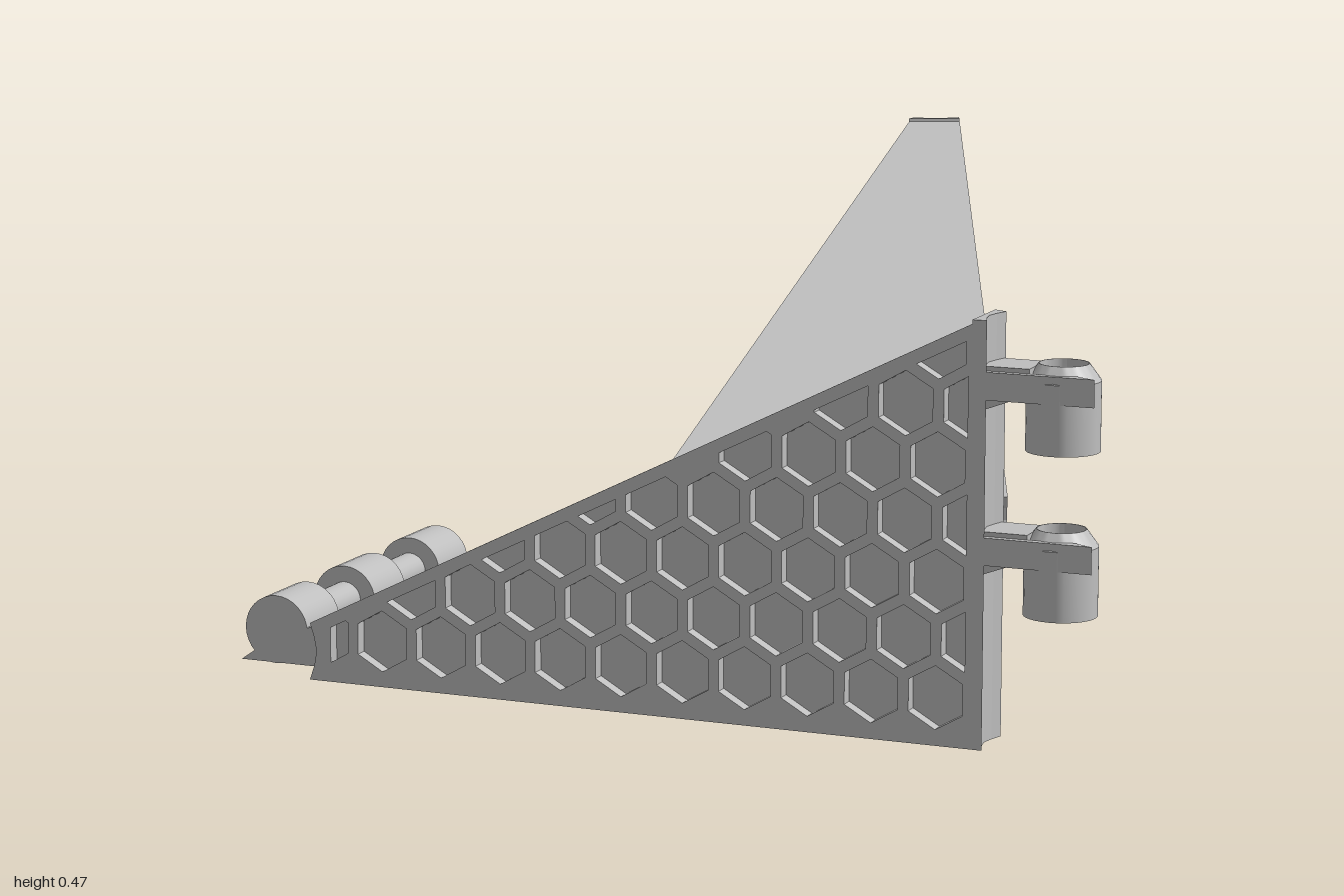
import * as THREE from 'three';
import { toCreasedNormals } from 'three/addons/utils/BufferGeometryUtils.js';
import { ConvexGeometry } from 'three/addons/geometries/ConvexGeometry.js';

const grey = new THREE.MeshStandardMaterial({ color: 0xbebebe });
grey.name = 'plain grey';

const LENGTH = 0.8, LOW = 0.067, SLOPE = 0.5, DEPTH = 0.015;
const U0 = 0.012, U1 = LENGTH - 0.012;
const AXIS_U = 0.876, AXIS_V = 0.039; // hinge axis beyond the wedge end
const rise = (u) => LOW + SLOPE * u;

function add(parent, geometry, name) {
  const mesh = new THREE.Mesh(geometry, grey);
  mesh.name = name;
  parent.add(mesh);
  return mesh;
}

const shapeOf = (pts) => new THREE.Shape(pts.map(([x, y]) => new THREE.Vector2(x, y)));
const extrude = (shape, depth) => new THREE.ExtrudeGeometry(shape, { depth, bevelEnabled: false });

// Prism with a plan outline (u, v), standing from y0 to y1
function prism(pts, y0, y1) {
  return extrude(shapeOf(pts), y1 - y0).rotateX(-Math.PI / 2).translate(0, y0, 0);
}

// Keep the part of a polygon where a*x + b*y >= c
function clip(poly, [a, b, c]) {
  const out = [];
  poly.forEach((p, i) => {
    const q = poly[(i + 1) % poly.length];
    const dp = a * p[0] + b * p[1] - c, dq = a * q[0] + b * q[1] - c;
    if (dp >= 0) out.push(p);
    if (dp * dq < 0) {
      const t = dp / (dp - dq);
      out.push([p[0] + (q[0] - p[0]) * t, p[1] + (q[1] - p[1]) * t]);
    }
  });
  return out;
}

// Plate pierced by a honeycomb, cut off along the plate's borders
function honeycombPlate() {
  const shape = shapeOf([[U0, 0], [U1, 0], [U1, rise(U1)], [U0, rise(U0)]]);
  const pitch = 0.0734, r = 0.0352;
  const limits = [[1, 0, 0.024], [-1, 0, -0.783], [0, 1, 0.017], [SLOPE, -1, 0.016 - LOW]];
  for (let row = 0; row < 7; row++) {
    for (let k = -1; k < 12; k++) {
      const cx = 0.75 - pitch * (k + (row % 2) / 2);
      const cy = 0.053 + row * pitch * 0.866;
      let hex = [];
      for (let i = 0; i < 6; i++) {
        const t = Math.PI / 6 + i * Math.PI / 3;
        hex.push([cx + r * Math.cos(t), cy + r * Math.sin(t)]);
      }
      for (const limit of limits) hex = clip(hex, limit);
      if (hex.length < 3) continue;
      const path = shapeOf(hex);
      if (Math.abs(THREE.ShapeUtils.area(path.getPoints())) > 0.0003) shape.holes.push(path);
    }
  }
  return extrude(shape, DEPTH).translate(0, 0, -DEPTH);
}

// One honeycomb side with the hollowed edge next to it
function side(name) {
  const group = new THREE.Group();
  group.name = name;
  add(group, honeycombPlate(), 'honeycombPlate');
  const outline = [[0.787, 0], [0.803, 0], [0.797, 0.017], [0.794, 0.034],
    [0.797, 0.05], [0.802, 0.066], [0.787, 0.0735]];
  add(group, prism(outline, 0, 0.465), 'hollowedEdge');
  return group;
}

// Open knuckle with a tapered top, a sloped strut and a small fin
function socketKnuckle(parent, y) {
  const profile = [[0.026, 0], [0.04, 0], [0.04, 0.076], [0.027, 0.094], [0.026, 0.094], [0.026, 0]]
    .map(([x, h]) => new THREE.Vector2(x, h));
  const ring = toCreasedNormals(new THREE.LatheGeometry(profile, 32), 0.5);
  add(parent, ring, 'socketRing').position.set(AXIS_U, y, -AXIS_V);
  const strut = shapeOf([[0.79, y + 0.04], [0.848, y + 0.062], [0.848, y + 0.09], [0.79, y + 0.09]]);
  add(parent, extrude(strut, 0.056).translate(0, 0, -0.064), 'socketStrut');
  const fin = [[0.79, 0], [0.922, 0], [0.9, 0.012], [0.86, 0.009], [0.79, 0.012]];
  add(parent, prism(fin, y + 0.055, y + 0.085), 'socketFin');
}

// Solid knuckle on a flat foot
function pinKnuckle(parent, y) {
  const h = 0.08;
  const barrel = new THREE.CylinderGeometry(0.04, 0.04, h, 32);
  add(parent, barrel, 'pinBarrel').position.set(AXIS_U, y + h / 2, -AXIS_V);
  const foot = [[0.79, 0], [0.922, 0], [0.905, 0.012], [0.876, 0.04], [0.79, 0.05]];
  add(parent, prism(foot, y, y + h), 'pinFoot');
}

function createWedge(name) {
  const wedge = new THREE.Group();
  wedge.name = name;

  // Solid core behind the honeycomb plates
  const corners = [];
  for (const u of [U0, U1])
    for (const v of [DEPTH, rise(LENGTH - u)])
      for (const y of [DEPTH, rise(u)]) corners.push(new THREE.Vector3(u, y, -v));
  add(wedge, new ConvexGeometry(corners), 'wedgeCore');

  // Upright side with the two sockets
  const upright = side('uprightSide');
  for (const y of [0.147, 0.325]) socketKnuckle(upright, y);
  wedge.add(upright);

  // Underside: the same side turned over, with three knuckles on a pin
  const underside = side('underside');
  for (const y of [0.058, 0.23, 0.404]) pinKnuckle(underside, y);
  const pin = new THREE.CylinderGeometry(0.021, 0.021, 0.4, 24);
  add(underside, pin, 'hingePin').position.set(AXIS_U, 0.27, -AXIS_V);
  underside.quaternion.setFromAxisAngle(new THREE.Vector3(0, 1, -1).normalize(), Math.PI);
  underside.position.x = LENGTH;
  wedge.add(underside);
  return wedge;
}

export function createModel() {
  const model = new THREE.Group();
  model.name = 'hingedWedges';
  const back = createWedge('backWedge');
  back.position.set(0.452, 0, -0.08);
  back.rotation.y = THREE.MathUtils.degToRad(84.2);
  const front = createWedge('frontWedge');
  front.position.set(-0.472, 0, 0.53);
  front.rotation.y = THREE.MathUtils.degToRad(-30);
  model.add(back, front);
  return model;
}
